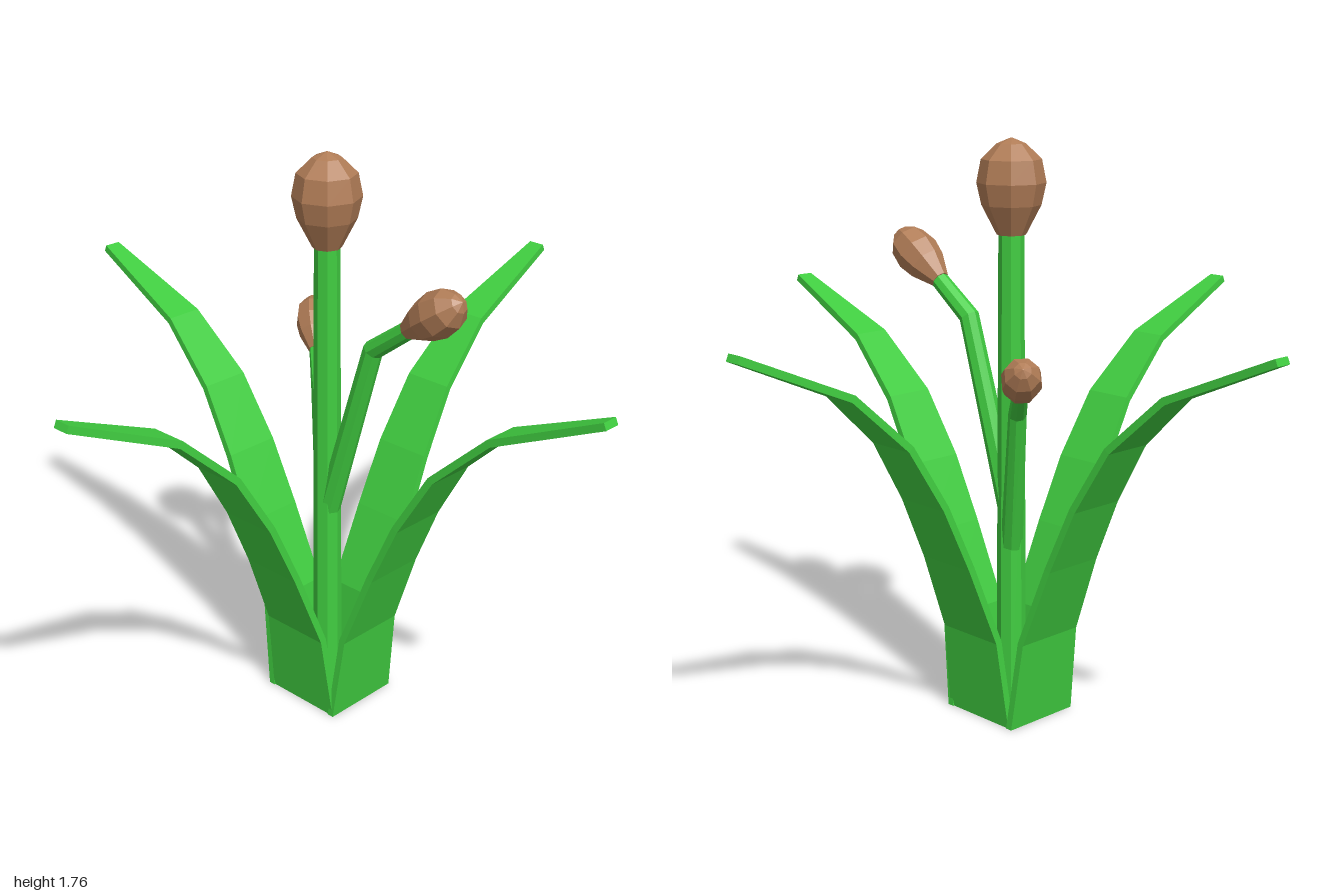
import * as THREE from 'three';

const green = new THREE.MeshStandardMaterial({ color: 0x40cc40 });
green.name = 'leaf green';
const brown = new THREE.MeshStandardMaterial({ color: 0xb07c56 });
brown.name = 'bud brown';

const V = (x, y, z) => new THREE.Vector3(x, y, z);

// Faceted closed skin over a row of cross-sections (each counterclockwise about the path)
function loft(rings) {
  const pos = [];
  const tri = (...pts) => pts.forEach(p => pos.push(p.x, p.y, p.z));
  const n = rings[0].length;
  for (let i = 0; i < rings.length - 1; i++) {
    for (let j = 0; j < n; j++) {
      const k = (j + 1) % n;
      const [a, b, c, d] = [rings[i][j], rings[i][k], rings[i + 1][k], rings[i + 1][j]];
      tri(a, b, c);
      tri(a, c, d);
    }
  }
  const first = rings[0], last = rings[rings.length - 1];
  for (let j = 1; j < n - 1; j++) {
    tri(first[0], first[j + 1], first[j]);
    tri(last[0], last[j], last[j + 1]);
  }
  const geo = new THREE.BufferGeometry();
  geo.setAttribute('position', new THREE.Float32BufferAttribute(pos, 3));
  geo.computeVertexNormals();
  return geo;
}

// Round section swept along points, mitred at the bends
function sweep(points, radii, sides = 8) {
  return loft(points.map((p, i) => {
    const before = p.clone().sub(points[Math.max(i - 1, 0)]).normalize();
    const after = points[Math.min(i + 1, points.length - 1)].clone().sub(p).normalize();
    const dir = before.add(after).normalize();
    const u = V(0, 0, 1).addScaledVector(dir, -dir.z).normalize();
    const v = dir.clone().cross(u);
    return Array.from({ length: sides }, (_, j) => {
      const t = (j / sides) * Math.PI * 2;
      return p.clone().addScaledVector(u, radii[i] * Math.cos(t)).addScaledVector(v, radii[i] * Math.sin(t));
    });
  }));
}

// Blade centre line: distance out, height, half width
const BLADE = [
  [0.13, 0, 0.13], [0.165, 0.28, 0.115], [0.26, 0.53, 0.1], [0.35, 0.73, 0.092],
  [0.467, 0.925, 0.079], [0.65, 1.095, 0.058], [0.996, 1.247, 0.026],
];

function blade(inset) {
  const half = 0.011;
  return loft(BLADE.map(([r, y, w], i) => {
    const a = BLADE[Math.max(i - 1, 0)], b = BLADE[Math.min(i + 1, BLADE.length - 1)];
    const len = Math.hypot(b[0] - a[0], b[1] - a[1]);
    const nx = (b[1] - a[1]) / len * half;
    const ny = i === 0 ? 0 : -(b[0] - a[0]) / len * half;
    const x = r - inset;
    return [V(x + nx, y + ny, w), V(x + nx, y + ny, -w), V(x - nx, y - ny, -w), V(x - nx, y - ny, w)];
  }));
}

// Bud outline: share of length, share of full radius
const BUD = [[0, 0.42], [0.31, 0.86], [0.54, 1], [0.78, 0.87], [0.94, 0.42], [1, 0.02]];

function bud(from, to, radius) {
  return sweep(BUD.map(([t]) => from.clone().lerp(to, t)), BUD.map(([, r]) => r * radius));
}

export function createModel() {
  const model = new THREE.Group();
  const add = (name, geo, mat) => {
    const mesh = new THREE.Mesh(geo, mat);
    mesh.name = name;
    model.add(mesh);
    return mesh;
  };

  // Four leaves forming a square base
  ['leftLeaf', 'backLeaf', 'rightLeaf', 'frontLeaf'].forEach((name, i) => {
    const leaf = add(name, blade(i % 2 ? 0.015 : 0), green);
    leaf.rotation.y = i * Math.PI / 2;
    if (i % 2) leaf.position.x = 0.006;
  });

  // Upright stem with the large bud
  const sx = -0.008;
  add('mainStem', sweep([V(sx, 0, 0), V(sx, 0.75, 0), V(sx, 1.5, 0)], [0.046, 0.042, 0.038]), green);
  add('mainBud', bud(V(sx, 1.48, 0), V(sx, 1.76, 0), 0.102), brown);

  // Side stems with smaller buds
  add('leftStem', sweep([V(sx, 0.62, 0), V(0.175, 1.215, 0), V(0.325, 1.325, 0)], [0.036, 0.031, 0.027]), green);
  add('leftBud', bud(V(0.305, 1.312, 0), V(0.498, 1.445, 0), 0.069), brown);

  add('rightStem', sweep([V(sx, 0.5, 0), V(-0.128, 0.975, -0.092), V(-0.22, 1.07, -0.17)], [0.034, 0.027, 0.023]), green);
  add('rightBud', bud(V(-0.208, 1.058, -0.16), V(-0.338, 1.168, -0.277), 0.06), brown);

  return model;
}
